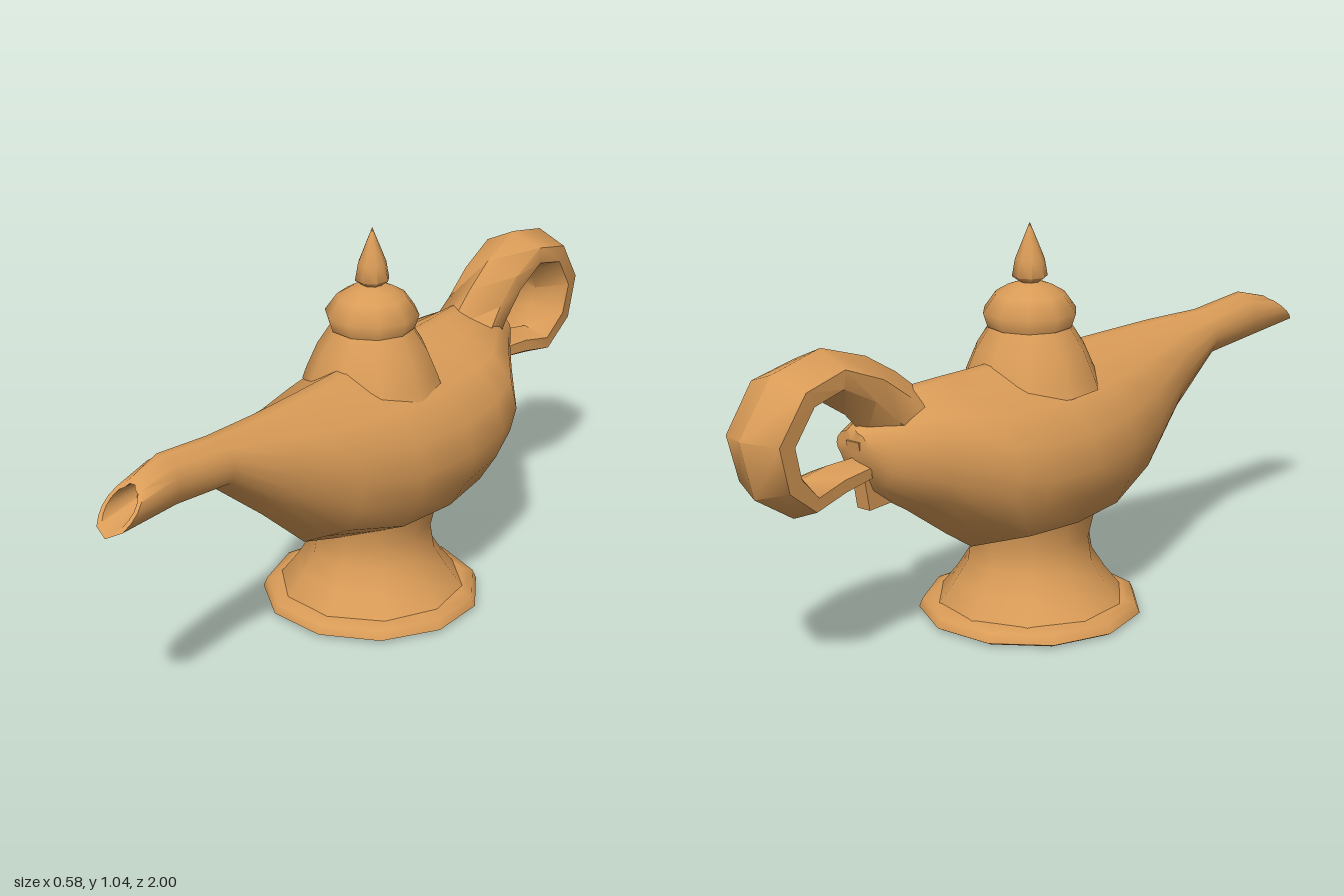
import * as THREE from 'three';
import { toCreasedNormals } from 'three/addons/utils/BufferGeometryUtils.js';

// Skin a list of point rings, each running counter-clockwise about the travel direction
function loft(rings) {
  const n = rings[0].length;
  const index = [];
  for (let i = 0; i < rings.length - 1; i++) {
    for (let j = 0; j < n; j++) {
      const a = i * n + j, b = i * n + (j + 1) % n;
      index.push(a, b, b + n, a, b + n, a + n);
    }
  }
  const geometry = new THREE.BufferGeometry().setFromPoints(rings.flat());
  geometry.setIndex(index);
  return toCreasedNormals(geometry, 1.0);
}

// Ring squeezed towards its centre and moved along z
function shrink(ring, scale, dz = 0) {
  const centre = ring.reduce((s, p) => s.add(p), new THREE.Vector3()).divideScalar(ring.length);
  return ring.map((p) => {
    const q = p.clone().lerp(centre, 1 - scale);
    q.z += dz;
    return q;
  });
}

// Bowl section: keeled hull and sloping shoulders that rise to a narrow crown
function section([z, cx, w, bottom, top, slant = 0]) {
  const half = [[0, 0], [0.4, 0.08], [0.75, 0.15], [0.93, 0.31], [1, 0.48],
    [0.93, 0.66], [0.7, 0.83], [0.36, 0.91], [Math.min(0.016 / w, 0.2), 0.995]];
  const mirrored = half.slice(1).reverse().map(([u, t]) => [-u, t]);
  return [...half, ...mirrored].map(([u, t]) =>
    new THREE.Vector3(cx + u * w, bottom + t * (top - bottom), z + slant * (1 - t)));
}

export function createModel() {
  const lamp = new THREE.Group();
  lamp.name = 'oilLamp';
  const brass = new THREE.MeshStandardMaterial({ color: 0xd99b57 });
  brass.name = 'brass';

  const add = (name, geometry) => {
    const mesh = new THREE.Mesh(geometry, brass);
    mesh.name = name;
    lamp.add(mesh);
    return mesh;
  };
  const turned = (name, profile, sides = 10) => {
    const points = profile.map(([r, y]) => new THREE.Vector2(r, y));
    const mesh = add(name, toCreasedNormals(new THREE.LatheGeometry(points, sides), 1.15));
    mesh.position.z = -0.055;
  };

  // Bowl and spout: z, centre x, half width, bottom, top, rim slant
  const hull = [
    [-0.655, 0.075, 0.05, 0.55, 0.63],
    [-0.61, 0.065, 0.08, 0.46, 0.66],
    [-0.5, 0.045, 0.155, 0.39, 0.7],
    [-0.36, 0.035, 0.245, 0.29, 0.7],
    [-0.27, 0.025, 0.257, 0.23, 0.7],
    [-0.1, 0.012, 0.265, 0.22, 0.7],
    [0.08, -0.008, 0.232, 0.225, 0.7],
    [0.26, -0.028, 0.172, 0.285, 0.7],
    [0.43, -0.05, 0.11, 0.43, 0.7],
    [0.6, -0.085, 0.065, 0.567, 0.7],
    [0.78, -0.11, 0.053, 0.58, 0.72],
    [0.87, -0.12, 0.048, 0.595, 0.695, 0.13],
  ].map(section);
  const rim = hull[hull.length - 1];
  add('bowlAndSpout', loft([
    shrink(hull[0], 0), ...hull,
    shrink(rim, 0.78), shrink(rim, 0.55, -0.12), shrink(rim, 0, -0.12), // hollow spout mouth
  ]));

  // Curled handle: z, y, radius in the curl, sideways radius
  const curl = [
    [-0.46, 0.59, 0.09, 0.1], [-0.56, 0.67, 0.09, 0.085], [-0.64, 0.735, 0.075, 0.085],
    [-0.75, 0.785, 0.062, 0.088], [-0.86, 0.76, 0.064, 0.094], [-0.93, 0.66, 0.07, 0.092],
    [-0.905, 0.56, 0.064, 0.088], [-0.83, 0.495, 0.046, 0.075], [-0.73, 0.515, 0.042, 0.06],
    [-0.635, 0.522, 0.036, 0.045],
  ];
  const side = new THREE.Vector3(1, 0, 0);
  const corners = [22, 90, 158, 202, 270, 338].map(THREE.MathUtils.degToRad);
  const rings = curl.map(([z, y, r, w], i) => {
    const a = curl[Math.max(i - 1, 0)], b = curl[Math.min(i + 1, curl.length - 1)];
    const tangent = new THREE.Vector3(0, b[1] - a[1], b[0] - a[0]).normalize();
    const up = new THREE.Vector3().crossVectors(tangent, side);
    return corners.map((angle) => new THREE.Vector3(-0.115 * z, y, z)
      .addScaledVector(side, w * Math.cos(angle))
      .addScaledVector(up, r * Math.sin(angle)));
  });
  add('handle', loft([shrink(rings[0], 0), ...rings, shrink(rings[rings.length - 1], 0)]));

  // Small pointed fin where the handle meets the bowl
  const fin = new THREE.Shape([[0.5, 0.42], [0.625, 0.42], [0.66, 0.6], [0.5, 0.6]]
    .map(([z, y]) => new THREE.Vector2(z, y)));
  const finMesh = add('handleFin', new THREE.ExtrudeGeometry(fin, { depth: 0.04, bevelEnabled: false }));
  finMesh.rotation.y = Math.PI / 2;
  finMesh.position.x = 0.05;

  // Pedestal
  turned('basePlate', [[0, 0.004], [0.28, 0.004], [0.295, 0.012], [0.285, 0.036], [0.255, 0.044], [0, 0.046]], 11);
  turned('foot', [[0.25, 0.042], [0.205, 0.1], [0.17, 0.155], [0.16, 0.22], [0.175, 0.285], [0.1, 0.31]]);

  // Collar, lid and finial
  turned('collar', [[0.185, 0.62], [0.175, 0.65], [0.145, 0.72], [0.11, 0.775], [0.1, 0.79]]);
  turned('lid', [[0, 0.776], [0.112, 0.778], [0.124, 0.815], [0.092, 0.86], [0.058, 0.88], [0.02, 0.893], [0, 0.895]]);
  turned('finial', [[0.018, 0.885], [0.046, 0.905], [0.038, 0.95], [0.018, 1.0], [0, 1.044]], 8);

  return lamp;
}
